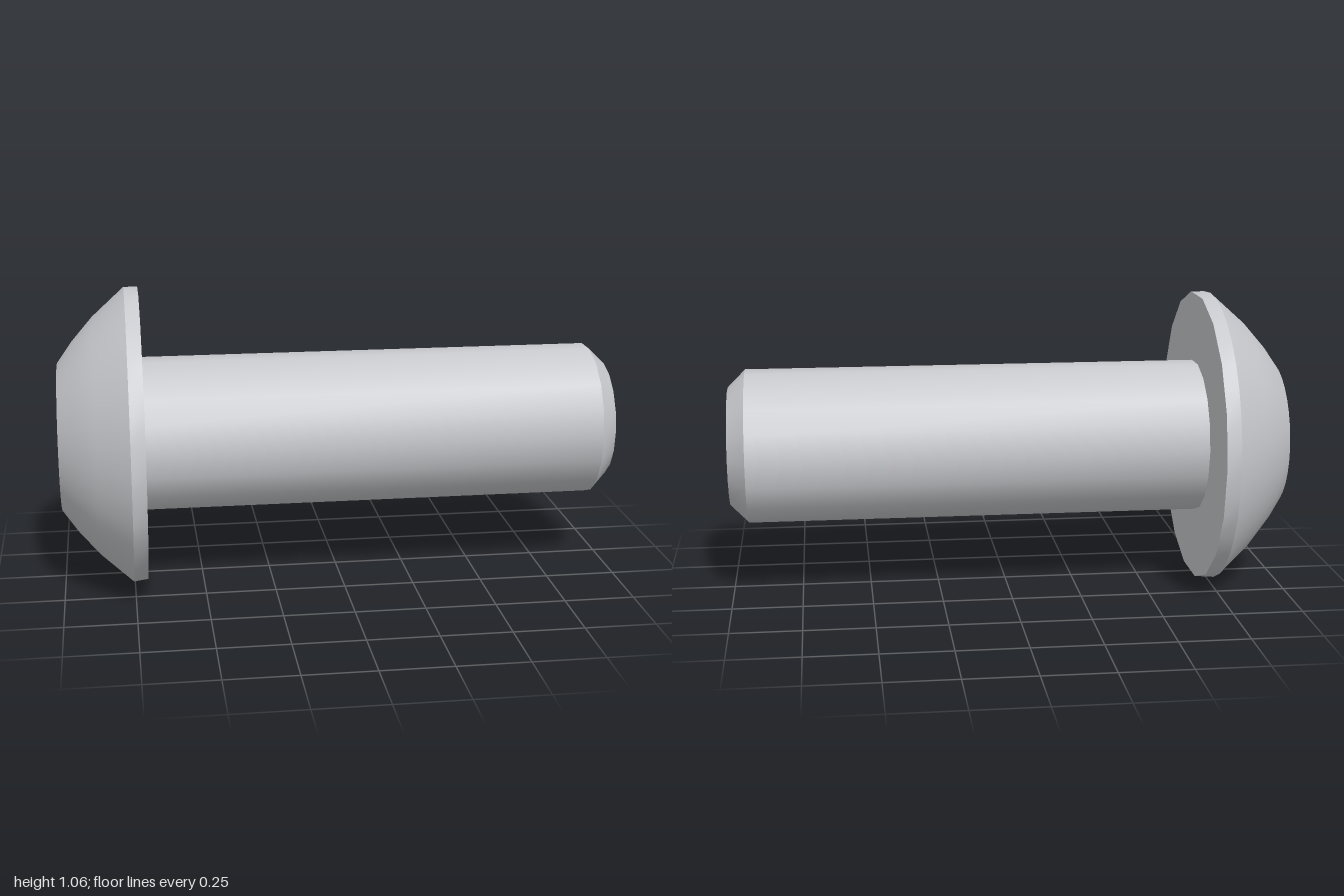
import * as THREE from 'three';
import { toCreasedNormals } from 'three/addons/utils/BufferGeometryUtils.js';

const HEAD_R = 0.531, SHANK_R = 0.278, TIP_R = 0.215, FACE_R = 0.265, SOCKET_R = 0.182;
const FACE_X = -1, RIM_X = -0.755, UNDER_X = -0.705, CHAMFER_X = 0.937, TIP_X = 1;
const SOCKET_FLOOR_X = -0.82;

// Revolve a profile of [radius, x] pairs around the x axis
function revolve(profile, segments, start = 0) {
  const points = profile.map(([r, x]) => new THREE.Vector2(r, x));
  return new THREE.LatheGeometry(points, segments, start).rotateZ(-Math.PI / 2);
}

// Regular polygon outline in the xy plane
function polygon(radius, sides, start, PathClass) {
  const points = [];
  for (let i = 0; i < sides; i++) {
    const a = start + (i / sides) * Math.PI * 2;
    points.push(new THREE.Vector2(radius * Math.cos(a), radius * Math.sin(a)));
  }
  return new PathClass(points);
}

export function createModel() {
  const model = new THREE.Group();
  model.name = 'buttonHeadScrew';
  const steel = new THREE.MeshStandardMaterial({ color: 0xc8c9cd });
  steel.name = 'steel';

  const add = (name, geometry) => {
    const mesh = new THREE.Mesh(toCreasedNormals(geometry, 0.5), steel);
    mesh.name = name;
    mesh.position.y = 0.531;
    model.add(mesh);
  };

  // Rounded head
  add('headDome', revolve(
    [[FACE_R, FACE_X], [0.342, -0.945], [0.428, -0.87], [HEAD_R, RIM_X]], 36));

  // Rim: fine edge at the dome, 18-sided edge at the underside
  const rim = revolve([[HEAD_R, RIM_X], [HEAD_R, UNDER_X]], 36);
  const pos = rim.attributes.position;
  const pull = Math.cos(Math.PI / 18);
  for (let i = 1; i <= 36; i += 2) {
    const v = i * 2 + 1;
    pos.setXYZ(v, pos.getX(v), pos.getY(v) * pull, pos.getZ(v) * pull);
  }
  add('headRim', rim);

  // Flat underside of the head
  add('headUnderside', revolve([[HEAD_R, UNDER_X], [SHANK_R, UNDER_X]], 18));

  // Flat outer face with the hexagonal opening
  const face = polygon(FACE_R, 36, 0, THREE.Shape);
  face.holes.push(polygon(SOCKET_R, 6, Math.PI / 2, THREE.Path));
  add('headFace', new THREE.ShapeGeometry(face).rotateY(-Math.PI / 2).translate(FACE_X, 0, 0));

  // Recessed hexagonal socket: floor, then inward-facing walls
  add('hexSocket', revolve(
    [[0, SOCKET_FLOOR_X], [SOCKET_R, SOCKET_FLOOR_X], [SOCKET_R, FACE_X]], 6, Math.PI / 2));

  // Shank with chamfered tip
  add('shank', revolve(
    [[SHANK_R, UNDER_X], [SHANK_R, CHAMFER_X], [TIP_R, TIP_X], [0, TIP_X]], 18));

  return model;
}
